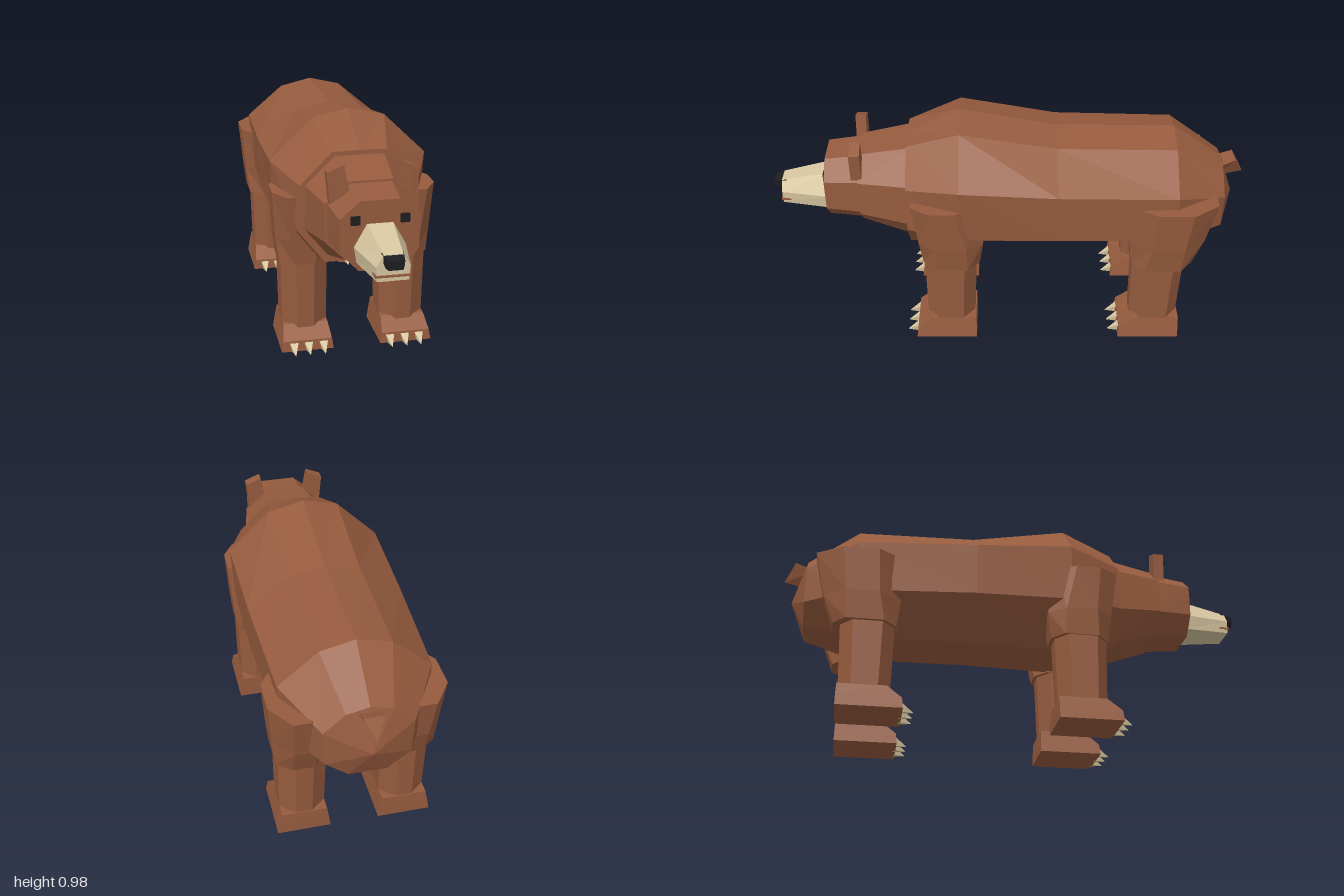
import * as THREE from 'three';

const mat = (name, color) => {
  const m = new THREE.MeshStandardMaterial({ color, flatShading: true });
  m.name = name;
  return m;
};

// Closed, faceted skin through equal-length rings of [x, y, z], capped at both ends
function loft(rings) {
  const tris = [];
  const n = rings[0].length;
  for (let r = 0; r < rings.length - 1; r++) {
    for (let i = 0; i < n; i++) {
      const j = (i + 1) % n;
      const a = rings[r][i], b = rings[r][j], c = rings[r + 1][j], d = rings[r + 1][i];
      tris.push([a, b, c], [a, c, d]);
    }
  }
  const first = rings[0], last = rings[rings.length - 1];
  for (let i = 1; i < n - 1; i++) {
    tris.push([first[0], first[i + 1], first[i]], [last[0], last[i], last[i + 1]]);
  }
  // Turn the skin outward by its signed volume
  const o = new THREE.Vector3(...first[0]);
  const v = (p) => new THREE.Vector3(...p).sub(o);
  const volume = tris.reduce((s, [a, b, c]) => s + v(a).dot(v(b).cross(v(c))), 0);
  if (volume < 0) tris.forEach((t) => t.reverse());
  const g = new THREE.BufferGeometry();
  g.setAttribute('position', new THREE.Float32BufferAttribute(tris.flat(2), 3));
  g.computeVertexNormals();
  return g;
}

// Upright ring at z, mirrored from its +x half listed top to bottom
function ring(z, half) {
  const mirrored = half.filter((p) => p[0] > 0).reverse().map(([x, y]) => [-x, y, z]);
  return [...half.map(([x, y]) => [x, y, z]), ...mirrored];
}

// Level rings at height y: chamfered box and plain box
const octagon = (y, x0, x1, z0, z1, cx = 0.06, cz = 0.05) => [
  [x0 + cx, y, z0], [x1 - cx, y, z0], [x1, y, z0 + cz], [x1, y, z1 - cz],
  [x1 - cx, y, z1], [x0 + cx, y, z1], [x0, y, z1 - cz], [x0, y, z0 + cz],
];
const rect = (y, x0, x1, z0, z1) => [[x0, y, z0], [x1, y, z0], [x1, y, z1], [x0, y, z1]];

export function createModel() {
  const fur = mat('brown fur', 0x965b3e);
  const cream = mat('cream muzzle and claws', 0xd8c6a0);
  const black = mat('black nose and eyes', 0x1d1d20);

  const model = new THREE.Group();
  model.name = 'bear';
  const add = (parent, name, geometry, material) => {
    const mesh = new THREE.Mesh(geometry, material);
    mesh.name = name;
    parent.add(mesh);
    return mesh;
  };

  // Body with shoulder hump and pointed rump
  add(model, 'body', loft([
    ring(0.42, [[0, 0.862], [0.11, 0.86], [0.24, 0.73], [0.245, 0.535], [0.14, 0.4]]),
    ring(0.2, [[0, 0.975], [0.15, 0.94], [0.325, 0.77], [0.31, 0.53], [0.12, 0.375]]),
    ring(-0.2, [[0, 0.898], [0.145, 0.87], [0.32, 0.745], [0.31, 0.525], [0.12, 0.385]]),
    ring(-0.69, [[0, 0.893], [0.14, 0.86], [0.3, 0.725], [0.29, 0.51], [0.12, 0.378]]),
    ring(-0.9, [[0, 0.745], [0.09, 0.725], [0.175, 0.65], [0.165, 0.5], [0.075, 0.43]]),
    ring(-0.96, [[0, 0.572], [0.002, 0.571], [0.003, 0.57], [0.002, 0.568], [0.001, 0.567]]),
  ]), fur);

  // Neck and head
  add(model, 'neck', loft([
    ring(0.4, [[0.1, 0.847], [0.222, 0.73], [0.225, 0.545], [0.13, 0.425]]),
    ring(0.62, [[0.085, 0.805], [0.178, 0.722], [0.18, 0.57], [0.1, 0.49]]),
  ]), fur);
  add(model, 'head', loft([
    ring(0.61, [[0.08, 0.797], [0.168, 0.718], [0.17, 0.572], [0.095, 0.495]]),
    ring(0.765, [[0.075, 0.777], [0.152, 0.71], [0.15, 0.578], [0.08, 0.503]]),
  ]), fur);

  // Muzzle, mouth and nose
  add(model, 'muzzle', loft([
    ring(0.755, [[0.05, 0.69], [0.1, 0.6], [0.09, 0.537]]),
    ring(0.965, [[0.035, 0.645], [0.063, 0.6], [0.058, 0.545]]),
  ]), cream);
  const mouth = add(model, 'mouth', new THREE.BoxGeometry(0.132, 0.008, 0.05), fur);
  mouth.position.set(0, 0.565, 0.945);
  add(model, 'nose', loft([
    ring(0.945, [[0.04, 0.648], [0.038, 0.61], [0.03, 0.593]]),
    ring(1.0, [[0.033, 0.635], [0.03, 0.61], [0.026, 0.6]]),
  ]), black);

  // Short wedge tail
  add(model, 'tail', loft([
    [[0.05, 0.71, -0.87], [-0.05, 0.71, -0.87], [0, 0.645, -0.9]],
    [[0.042, 0.745, -0.955], [-0.042, 0.745, -0.955], [0, 0.668, -1.0]],
  ]), fur);

  for (const s of [1, -1]) {
    const side = s > 0 ? 'left' : 'right';
    const points = (list) => list.map(([x, y]) => new THREE.Vector2(s * x, y));

    // Eye
    const eye = add(model, side + 'Eye', new THREE.BoxGeometry(0.035, 0.034, 0.012), black);
    eye.position.set(s * 0.093, 0.704, 0.768);

    // Ear: back plate and raised rim around a hollow
    const outline = points([[0.09, 0.775], [0.165, 0.73], [0.176, 0.853], [0.11, 0.88]]);
    const hollow = points([[0.103, 0.787], [0.158, 0.765], [0.16, 0.84], [0.115, 0.858]]);
    const ear = new THREE.Group();
    ear.name = side + 'Ear';
    model.add(ear);
    const back = new THREE.ExtrudeGeometry(new THREE.Shape(outline), { depth: 0.03, bevelEnabled: false });
    add(ear, 'earBack', back, fur).position.z = 0.605;
    const rimShape = new THREE.Shape(outline);
    rimShape.holes.push(new THREE.Path(hollow));
    const rim = new THREE.ExtrudeGeometry(rimShape, { depth: 0.014, bevelEnabled: false });
    add(ear, 'earRim', rim, fur).position.z = 0.635;

    // Legs: front pair, then hind pair set back along the body
    for (const [pair, dz] of [['front', 0], ['hind', -0.88]]) {
      const leg = new THREE.Group();
      leg.name = side + (pair === 'front' ? 'FrontLeg' : 'HindLeg');
      model.add(leg);
      const flip = (rings) => rings.map((r) => r.map(([x, y, z]) => [s * x, y, z + dz]));
      const upper = pair === 'front'
        ? [octagon(0.675, 0.13, 0.335, 0.14, 0.4, 0.05, 0.08),
          octagon(0.48, 0.115, 0.322, 0.105, 0.375, 0.055, 0.07),
          octagon(0.37, 0.105, 0.31, 0.12, 0.36)]
        : [octagon(0.675, 0.13, 0.347, 0.02, 0.385, 0.075, 0.11),
          octagon(0.49, 0.115, 0.332, 0.06, 0.375, 0.07, 0.09),
          octagon(0.37, 0.105, 0.318, 0.105, 0.36)];
      add(leg, 'upperLeg', loft(flip(upper)), fur);
      add(leg, 'lowerLeg', loft(flip([
        octagon(0.38, 0.11, 0.305, 0.135, 0.355),
        octagon(0.08, 0.115, 0.3, 0.145, 0.35),
      ])), fur);
      add(leg, 'paw', loft(flip([
        rect(0, 0.1, 0.318, 0.138, 0.4),
        rect(0.045, 0.107, 0.31, 0.138, 0.395),
        rect(0.096, 0.115, 0.3, 0.14, 0.335),
      ])), fur);

      // Three claws
      for (const x of [0.142, 0.205, 0.266]) {
        add(leg, 'claw', loft(flip([
          [[x - 0.012, 0, 0.39], [x + 0.012, 0, 0.39], [x + 0.02, 0.04, 0.39], [x - 0.02, 0.04, 0.39]],
          [[x - 0.001, 0, 0.442], [x + 0.001, 0, 0.442], [x + 0.001, 0.002, 0.442], [x - 0.001, 0.002, 0.442]],
        ])), cream);
      }
    }
  }
  return model;
}
